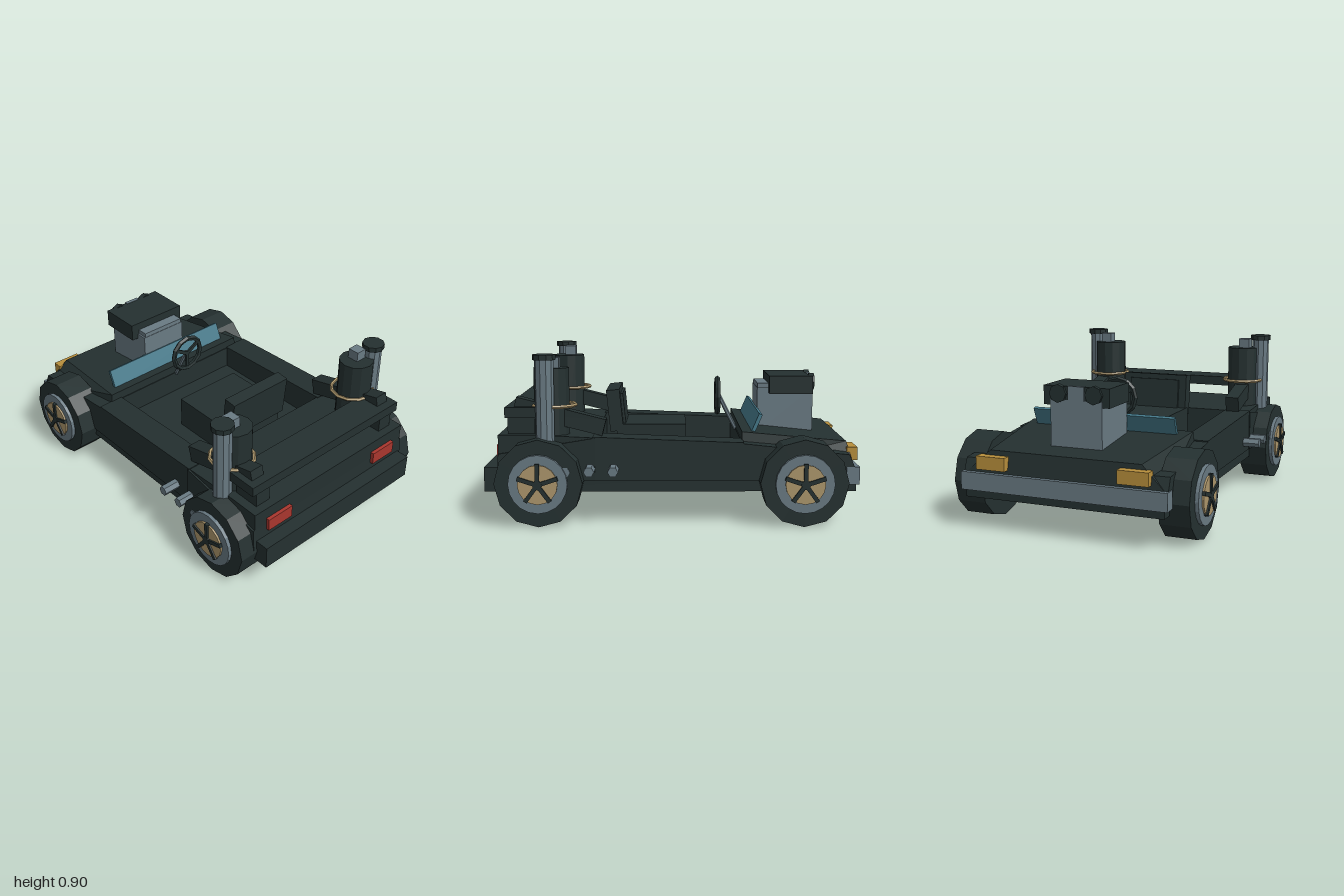
import * as THREE from 'three';

const mat = (name, color) => Object.assign(new THREE.MeshStandardMaterial({ color }), { name });

export function createModel() {
  const car = new THREE.Group();
  car.name = 'car';
  const dark = mat('darkBody', 0x243030);
  const steel = mat('steel', 0x697a83);
  const tan = mat('tan', 0xad976c);
  const glass = mat('blueGlass', 0x447889);
  const red = mat('redLamp', 0xa8362e);
  const amber = mat('amberLamp', 0xb88f3c);

  // Adds a faceted mesh
  function add(name, geo, material, x = 0, y = 0, z = 0, parent = car) {
    const g = geo.index ? geo.toNonIndexed() : geo;
    g.computeVertexNormals();
    const m = new THREE.Mesh(g, material);
    m.name = name;
    m.position.set(x, y, z);
    parent.add(m);
    return m;
  }
  // Box given by its limits on each axis
  function block(name, material, x0, x1, y0, y1, z0, z1, parent = car) {
    return add(name, new THREE.BoxGeometry(x1 - x0, y1 - y0, z1 - z0), material,
      (x0 + x1) / 2, (y0 + y1) / 2, (z0 + z1) / 2, parent);
  }
  // Side profile of [z, y] points, extruded across x
  function profile(name, material, pts, x0, x1) {
    const shape = new THREE.Shape(pts.map(p => new THREE.Vector2(p[0], p[1])));
    const g = new THREE.ExtrudeGeometry(shape, { depth: x1 - x0, bevelEnabled: false });
    g.translate(0, 0, (x0 - x1) / 2).rotateY(-Math.PI / 2);
    return add(name, g, material, (x0 + x1) / 2);
  }
  // Disc or tube with its axis along x
  const axle = (r, len, n) => new THREE.CylinderGeometry(r, r, len, n).rotateZ(-Math.PI / 2);

  // Underbody and cockpit floor
  block('underbody', dark, -0.55, 0.55, 0.17, 0.3, -0.98, 1.0);
  // Front and rear hull
  profile('frontHull', dark, [[-0.97, 0.23], [-0.37, 0.23], [-0.37, 0.43], [-0.94, 0.37], [-0.97, 0.3]], -0.565, 0.565);
  profile('rearHull', dark, [[0.41, 0.23], [0.93, 0.23], [0.92, 0.375], [0.41, 0.46]], -0.57, 0.57);
  profile('rearDeck', dark, [[0.41, 0.3], [0.92, 0.375], [0.92, 0.475], [0.705, 0.475], [0.41, 0.46]], -0.56, 0.56);

  // Hood, tapering upward and toward the nose
  const hood = new THREE.BoxGeometry(1, 1, 1);
  const p = hood.attributes.position;
  for (let i = 0; i < p.count; i++) {
    const top = p.getY(i) > 0, back = p.getZ(i) > 0, s = Math.sign(p.getX(i));
    const halfWidth = back ? (top ? 0.48 : 0.5) : (top ? 0.42 : 0.55);
    p.setXYZ(i, s * halfWidth, top ? (back ? 0.48 : 0.42) : 0.3, back ? -0.375 : (top ? -0.945 : -0.97));
  }
  add('hood', hood, dark);

  // Windshield strip, seat and steering
  const shield = add('windshield', new THREE.BoxGeometry(0.83, 0.11, 0.02), glass, 0, 0.515, -0.46);
  shield.rotation.x = -0.4;
  block('seatCushion', dark, -0.205, 0.205, 0.29, 0.48, -0.08, 0.31);
  const seatBack = new THREE.Group();
  seatBack.name = 'seatBack';
  seatBack.position.set(0, 0.56, 0.315);
  seatBack.rotation.x = 0.1;
  car.add(seatBack);
  block('seatBackShell', dark, -0.2, 0.2, -0.12, 0.115, -0.03, 0.045, seatBack);
  block('seatBackPad', dark, -0.155, 0.155, -0.09, 0.085, -0.045, -0.03, seatBack);

  add('steeringRim', new THREE.TorusGeometry(0.1, 0.015, 5, 12), dark, 0, 0.62, -0.265);
  for (let i = 0; i < 3; i++) {
    const a = i * Math.PI * 2 / 3 - Math.PI / 2;
    const spoke = add('steeringSpoke', new THREE.BoxGeometry(0.1, 0.02, 0.012), dark,
      Math.cos(a) * 0.05, 0.62 + Math.sin(a) * 0.05, -0.265);
    spoke.rotation.z = a;
  }
  const column = add('steeringColumn', new THREE.CylinderGeometry(0.012, 0.012, 0.23, 6), steel, 0, 0.525, -0.322);
  column.rotation.x = Math.atan2(0.1, 0.2);

  // Engine block with air scoop through the hood
  block('engineBlock', steel, -0.145, 0.145, 0.42, 0.68, -0.8, -0.485);
  block('engineRearCover', steel, -0.135, 0.135, 0.66, 0.705, -0.58, -0.487);
  block('airScoop', dark, -0.185, 0.185, 0.65, 0.75, -0.795, -0.55);
  block('scoopInlet', steel, -0.045, 0.045, 0.68, 0.752, -0.803, -0.78);
  for (const x of [-0.1, 0.1]) {
    add('scoopThroat', new THREE.CylinderGeometry(0.048, 0.048, 0.03, 8).rotateX(Math.PI / 2), dark, x, 0.712, -0.795);
  }

  // Bumper and spoiler
  block('frontBumper', steel, -0.57, 0.57, 0.21, 0.305, -0.995, -0.925);
  block('spoiler', dark, -0.545, 0.545, 0.565, 0.62, 0.71, 0.885);

  // Parts repeated on each side
  for (const s of [-1, 1]) {
    const span = (a, b) => s > 0 ? [a, b] : [-b, -a];
    profile('sideWall', dark,
      [[0.42, 0.23], [0.42, 0.465], [-0.38, 0.435], [-0.38, 0.23]].reverse(), ...span(0.415, 0.565));
    block('headlight', amber, ...span(0.31, 0.475), 0.325, 0.395, -0.998, -0.94);
    block('tailLight', red, ...span(0.315, 0.48), 0.34, 0.41, 0.9, 0.94);
    block('spoilerSupport', dark, ...span(0.42, 0.51), 0.46, 0.57, 0.73, 0.875);

    // Sloping beam that carries the boiler
    const beam = add('boilerBeam', new THREE.BoxGeometry(0.08, 0.09, 0.49), dark, s * 0.47, 0.567, 0.6);
    beam.rotation.x = -0.25;
    add('boiler', new THREE.CylinderGeometry(0.095, 0.095, 0.365, 12), dark, s * 0.453, 0.6425, 0.645);
    block('boilerValve', steel, ...span(0.435, 0.5), 0.82, 0.88, 0.6, 0.665);
    add('boilerRing', new THREE.TorusGeometry(0.117, 0.01, 5, 12).rotateX(Math.PI / 2), tan, s * 0.455, 0.625, 0.632);

    // Exhaust stack
    add('stack', new THREE.CylinderGeometry(0.05, 0.05, 0.58, 10), steel, s * 0.555, 0.59, 0.67);
    add('stackCap', new THREE.CylinderGeometry(0.061, 0.061, 0.028, 10), dark, s * 0.555, 0.887, 0.67);

    // Side exhaust stubs
    for (const z of [0.31, 0.435, 0.56]) {
      add('sidePipe', axle(0.028, 0.16, 6), steel, s * 0.58, 0.295, z);
    }

    // Wheels
    for (const z of [-0.693, 0.7]) {
      const wheel = new THREE.Group();
      wheel.name = 'wheel';
      wheel.position.set(0, 0.233, z);
      car.add(wheel);
      add('tyre', axle(0.232, 0.165, 12), dark, s * 0.573, 0, 0, wheel);
      add('rim', axle(0.155, 0.06, 20), steel, s * 0.645, 0, 0, wheel);
      add('hubDisc', axle(0.105, 0.06, 16), tan, s * 0.655, 0, 0, wheel);
      add('hub', axle(0.025, 0.02, 8), dark, s * 0.685, 0, 0, wheel);
      for (let i = 0; i < 5; i++) {
        const a = i * Math.PI * 2 / 5;
        const spoke = add('wheelSpoke', new THREE.BoxGeometry(0.018, 0.11, 0.022), dark,
          s * 0.685, Math.cos(a) * 0.055, Math.sin(a) * 0.055, wheel);
        spoke.rotation.x = a;
      }
    }
  }
  return car;
}
